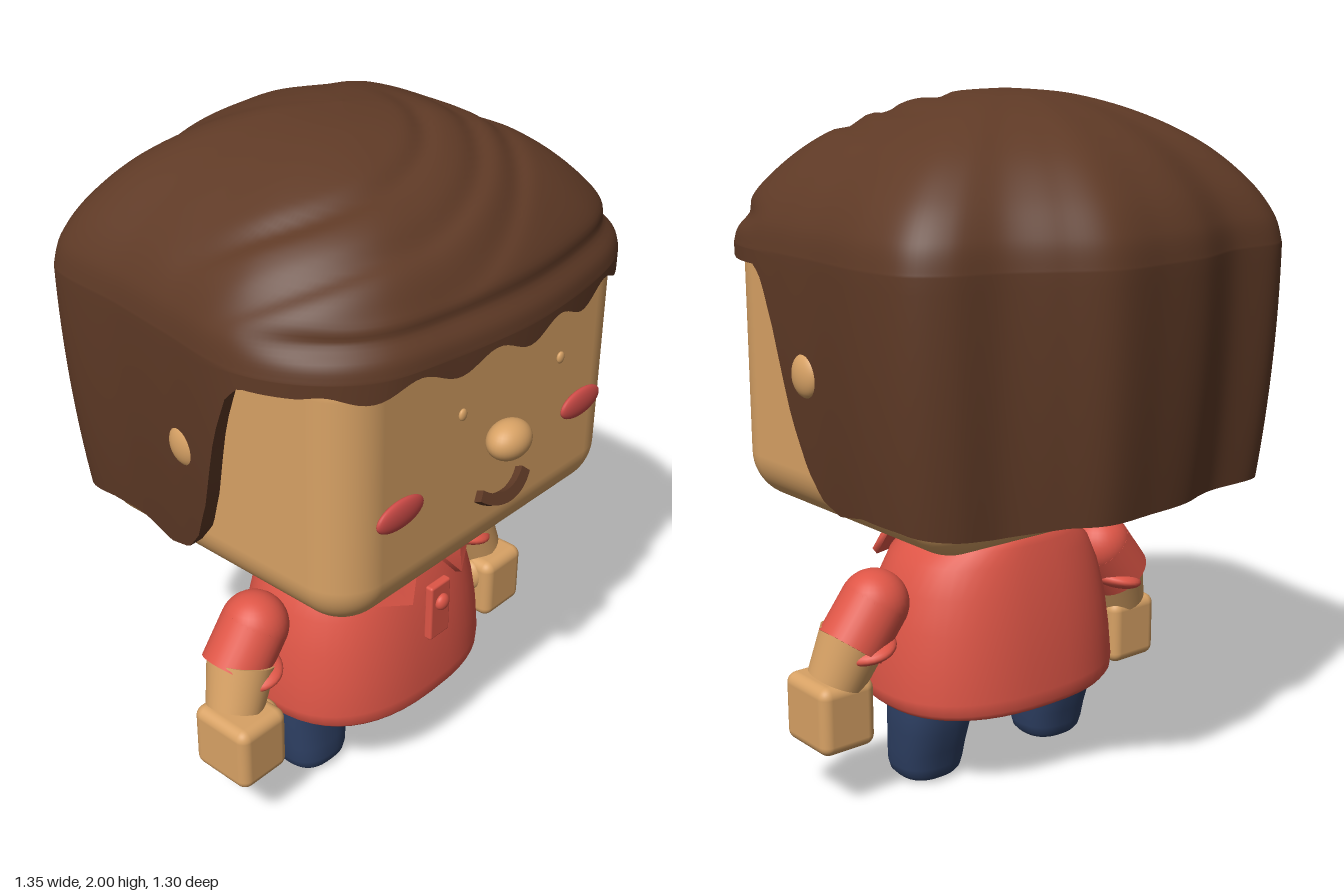
import * as THREE from 'three';
import { RoundedBoxGeometry } from 'three/addons/geometries/RoundedBoxGeometry.js';

const mat = (name, color, side = THREE.FrontSide) => {
  const m = new THREE.MeshStandardMaterial({ color, side });
  m.name = name;
  return m;
};

// Piecewise-linear lookup in [key, value] pairs with falling keys
function lookup(table, k) {
  if (k >= table[0][0]) return table[0][1];
  for (let i = 1; i < table.length; i++) {
    const [k0, v0] = table[i - 1], [k1, v1] = table[i];
    if (k >= k1) return v1 + (v0 - v1) * (k - k1) / (k0 - k1);
  }
  return table[table.length - 1][1];
}

// Skin closed rings of points, listed from top to bottom
function skinRings(rings) {
  const n = rings[0].length, pos = [], index = [];
  rings.forEach((ring) => ring.forEach((p) => pos.push(...p)));
  for (let r = 0; r < rings.length - 1; r++) {
    for (let c = 0; c < n; c++) {
      const a = r * n + c, b = r * n + (c + 1) % n;
      index.push(a, a + n, b, b, a + n, b + n);
    }
  }
  const g = new THREE.BufferGeometry();
  g.setAttribute('position', new THREE.Float32BufferAttribute(pos, 3));
  g.setIndex(index);
  g.computeVertexNormals();
  return g;
}

// Superellipse sections: [y, half width, front z, back z]
function loft(sections, power, x0 = 0) {
  return skinRings(sections.map(([y, w, zf, zb]) => {
    const ring = [];
    for (let i = 0; i < 48; i++) {
      const a = i / 48 * Math.PI * 2, s = Math.sin(a), c = Math.cos(a);
      const f = (v) => Math.sign(v) * Math.abs(v) ** (2 / power);
      ring.push([x0 + w * f(s), y, (zf + zb) / 2 + (zf - zb) / 2 * f(c)]);
    }
    return ring;
  }));
}

// Hair cap: a domed top, a wavy fringe and long sides and back
function hairGeometry() {
  const outline = [
    [0, .645], [.25, .625], [.46, .575], [.575, .5], [.63, .38], [.65, .15], [.655, 0], [.67, -.25],
    [.64, -.4], [.56, -.47], [.42, -.51], [.3, -.58], [.17, -.65], [0, -.645], [-.15, -.63], [-.33, -.565],
    [-.52, -.55], [-.6, -.48], [-.63, -.2], [-.655, 0], [-.68, .28], [-.6, .46], [-.47, .57], [-.25, .62],
  ].map(([x, z]) => new THREE.Vector3(x, 0, z));
  const foot = new THREE.CatmullRomCurve3(outline, true).getSpacedPoints(240).slice(0, -1);
  const dome = new THREE.SplineCurve([[0, 2], [.25, 1.985], [.5, 1.935], [.72, 1.855], [.88, 1.755], [.97, 1.66], [1, 1.58]]
    .map(([s, y]) => new THREE.Vector2(s, y))).getPoints(48);
  const sideHem = [[.29, 1.54], [.25, 1.5], [.2, 1.37], [.14, 1.14], [.08, 1], [.02, .93], [-.07, .905],
    [-.2, .93], [-.35, .925], [-.5, .9], [-.6, .92]];
  const hem = (p) => p.z > .29 ? 1.54 - .02 * Math.cos(p.x * Math.PI * 8) * THREE.MathUtils.smoothstep(p.z, .42, .52)
    : lookup(sideHem, p.z);
  const skirtScale = (y) => 1 - .06 * Math.max(0, (1.58 - y) / .66) ** 2;

  const rings = dome.map(({ x: s, y }) => foot.map((p) => {
    const front = THREE.MathUtils.smoothstep(p.z, .25, .5);
    const k = s - .03 * front * Math.exp(-(((y - 1.66) / .03) ** 2));
    const round = .6 * (1 - s), len = Math.hypot(p.x, p.z);
    const fit = k * (1 - round + round * .645 / len);
    const x = p.x * fit, z = p.z * fit;
    // swept grooves in the front hair
    const d = Math.hypot(x + .2, z + .05), edge = 1 - THREE.MathUtils.smoothstep(s, .9, 1);
    const groove = [.38, .52, .62].reduce((t, d0) => t + Math.exp(-(((d - d0) / .03) ** 2)), 0);
    return [x, y - .014 * groove * edge * THREE.MathUtils.smoothstep(z, -.1, .2), z];
  }));
  for (let i = 1; i <= 16; i++) {
    rings.push(foot.map((p) => {
      const y = 1.58 + (hem(p) - 1.58) * i / 16, s = skirtScale(y);
      return [p.x * s, y, p.z * s];
    }));
  }
  // rim and inner lip
  const lip = (inset, rise) => foot.map((p) => {
    const y = hem(p), deep = p.z > .29 ? 1.7 : 1, s = skirtScale(y) - inset * deep;
    return [p.x * s, y + rise, p.z * s];
  });
  rings.push(lip(0, 0), lip(.09, 0), lip(.09, 0), lip(.1, .1));
  return skinRings(rings);
}

// Collar flap: a thin plate leaning on the chest
function collarGeometry(side) {
  const corners = [[.025, .735, .305], [.2, .76, .255], [.29, .655, .245], [.11, .625, .355]];
  const ring = (push) => corners.map(([x, y, z]) => [x * side, y + push * .5, z + push]);
  const mid = (push) => corners.map(() => [.155 * side, .695 + push * .5, .3 + push]);
  return skinRings([mid(.03), ring(.022), ring(.022), ring(0), ring(0), mid(0)]);
}

export function createModel() {
  const group = new THREE.Group();
  const skin = mat('skin', 0xd8a265), shirt = mat('shirt red', 0xdf5647, THREE.DoubleSide);
  const hair = mat('hair brown', 0x5f3a26, THREE.DoubleSide), pants = mat('trouser navy', 0x2e4064);
  const blush = mat('cheek red', 0xd04c48);

  const add = (name, geometry, material, x = 0, y = 0, z = 0, parent = group) => {
    const m = new THREE.Mesh(geometry, material);
    m.name = name;
    m.position.set(x, y, z);
    parent.add(m);
    return m;
  };
  const ball = (name, material, x, y, z, rx, ry, rz) => {
    const m = add(name, new THREE.SphereGeometry(1, 32, 20), material, x, y, z);
    m.scale.set(rx, ry, rz);
    return m;
  };
  // Limb segment between two points
  const limb = (name, material, a, b, ra, rb) => {
    const from = new THREE.Vector3(...a), to = new THREE.Vector3(...b), dir = to.clone().sub(from);
    const m = add(name, new THREE.CylinderGeometry(rb, ra, dir.length(), 32), material);
    m.position.copy(from).add(to).multiplyScalar(.5);
    m.quaternion.setFromUnitVectors(new THREE.Vector3(0, 1, 0), dir.normalize());
    return m;
  };

  // Head
  add('head', new RoundedBoxGeometry(1.16, .83, .995, 8, .14), skin, 0, 1.245, .0475);
  add('hair', hairGeometry(), hair);
  add('neck', new THREE.CylinderGeometry(.12, .12, .2, 32), skin, 0, .77, .05);
  ball('nose', skin, 0, 1.225, .595, .072, .055, .055);

  // Mouth: a curved band tilted out of the face
  const smile = new THREE.Shape();
  smile.absarc(0, 0, .15, Math.PI * 1.25, Math.PI * 1.75, false);
  smile.absarc(0, 0, .118, Math.PI * 1.75, Math.PI * 1.25, true);
  const mouth = add('mouth', new THREE.ExtrudeGeometry(smile, { depth: .025, bevelEnabled: false, curveSegments: 20 }),
    hair, 0, 1.165, .525);
  mouth.rotation.x = -.45;

  // Torso
  add('shirt', loft([
    [.752, 0, .06, .06], [.752, .19, .255, -.135], [.745, .215, .268, -.145], [.725, .26, .285, -.15],
    [.68, .305, .308, -.163], [.6, .343, .335, -.18], [.5, .37, .357, -.197], [.4, .385, .372, -.207],
    [.3, .393, .38, -.215], [.265, .388, .38, -.215], [.248, .37, .368, -.205], [.244, .34, .34, -.18],
    [.244, 0, .08, .08],
  ], 2.4), shirt);
  add('placket', new RoundedBoxGeometry(.086, .185, .028, 2, .008), shirt, 0, .567, .378);
  ball('button', shirt, 0, .597, .395, .026, .026, .018);

  for (const s of [1, -1]) {
    // Face details
    ball('eye', skin, s * .205, 1.387, .597, .014, .017, .008);
    ball('cheek', blush, s * .385, 1.16, .553, .089, .042, .017);
    ball('ear', skin, s * .635, 1.27, .05, .032, .062, .058);
    add('collar', collarGeometry(s), shirt);

    // Arm
    ball('shoulder', shirt, s * .43, .585, .06, .1, .1, .1);
    limb('sleeve', shirt, [s * .43, .585, .06], [s * .515, .475, .06], .1, .1);
    const cuff = ball('cuff', shirt, s * .475, .47, .065, .09, .034, .125);
    cuff.rotation.z = s * -.25;
    limb('forearm', skin, [s * .495, .5, .07], [s * .545, .375, .09], .1, .085);
    add('hand', new RoundedBoxGeometry(.18, .205, .21, 4, .032), skin, s * .55, .282, .115);
    ball('thumb', skin, s * .47, .322, .14, .032, .054, .045);

    // Leg
    add('leg', loft([
      [.3, .12, .165, -.04], [.23, .123, .17, -.043], [.17, .12, .175, -.038], [.1, .113, .182, -.018],
      [.05, .108, .184, -.008], [.025, .1, .18, -.002], [.01, .086, .168, .01], [0, .06, .145, .035], [0, 0, .09, .09],
    ], 2.5, s * .238), pants);
  }
  return group;
}
